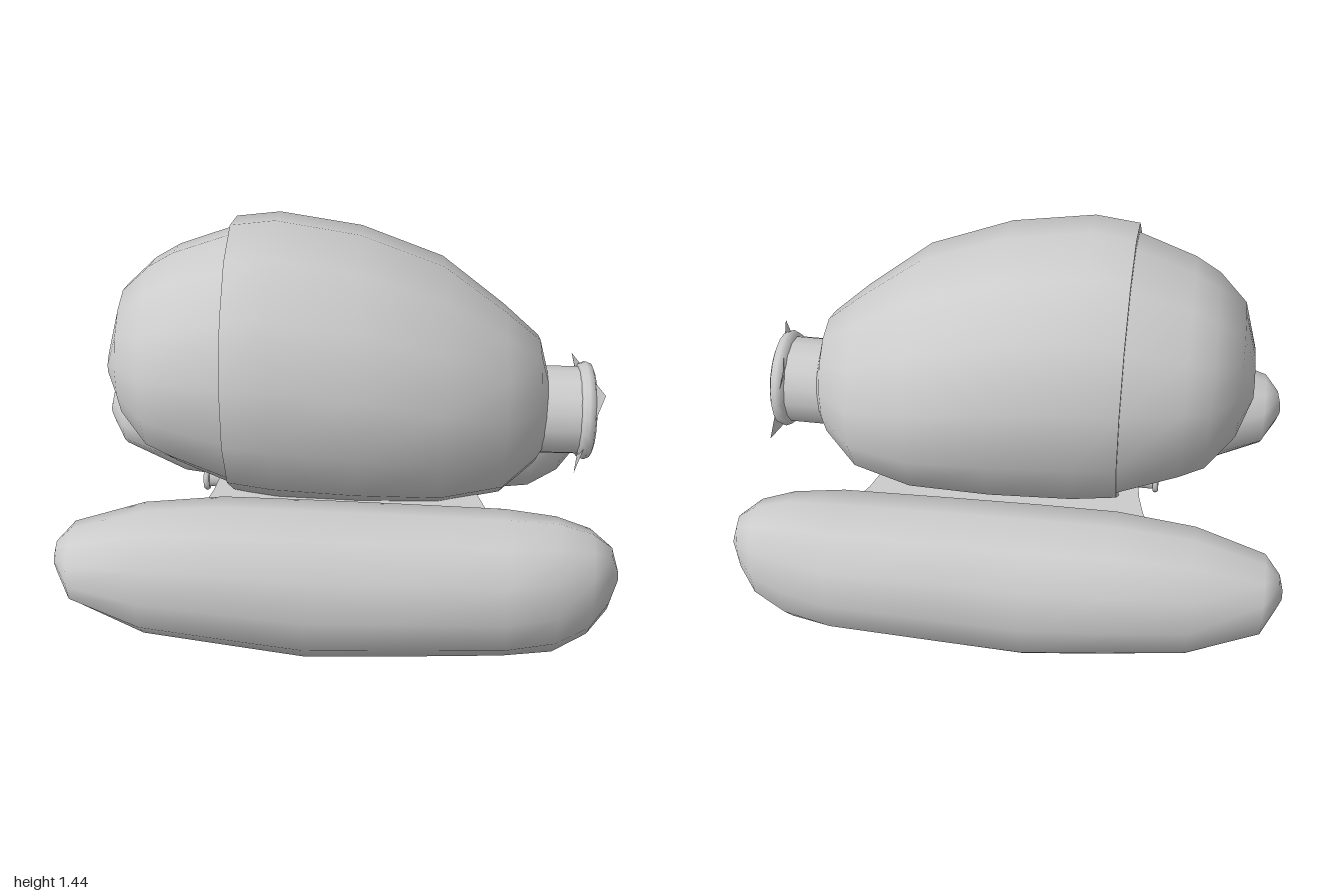
import * as THREE from 'three';

const material = new THREE.MeshStandardMaterial({ color: 0xcccccc });
const thin = new THREE.MeshStandardMaterial({ color: 0xcccccc, side: THREE.DoubleSide });

// Closed skin along x through elliptical sections [x, top, bottom, halfWidth].
// Repeating a section gives a sharp edge there.
function loft(sections, sides) {
  const positions = [], index = [], last = sections.length - 1;
  for (const [x, top, bottom, half] of sections) {
    for (let j = 0; j < sides; j++) {
      const t = (j / sides) * Math.PI * 2;
      positions.push(x, (top + bottom) / 2 + ((top - bottom) / 2) * Math.cos(t), half * Math.sin(t));
    }
  }
  const start = positions.length / 3, end = start + 1;
  for (const s of [sections[0], sections[last]]) positions.push(s[0], (s[1] + s[2]) / 2, 0);
  for (let j = 0; j < sides; j++) {
    const k = (j + 1) % sides;
    for (let i = 0; i < last; i++) {
      const a = i * sides, b = a + sides;
      index.push(a + j, a + k, b + j, a + k, b + k, b + j);
    }
    index.push(start, k, j, end, last * sides + j, last * sides + k);
  }
  const geometry = new THREE.BufferGeometry();
  geometry.setAttribute('position', new THREE.Float32BufferAttribute(positions, 3));
  geometry.setIndex(index);
  geometry.computeVertexNormals();
  return geometry;
}

export function createModel() {
  const model = new THREE.Group();
  function add(name, geometry, x = 0, y = 0, z = 0, mat = material) {
    const mesh = new THREE.Mesh(geometry, mat);
    mesh.name = name;
    mesh.position.set(x, y, z);
    model.add(mesh);
    return mesh;
  }

  // Egg-shaped hull with a flat rim at the rear
  add('hull', loft([
    [-0.39, 1.42, 0.40, 0.495], [-0.39, 1.42, 0.40, 0.495], [-0.23, 1.44, 0.37, 0.505],
    [0.07, 1.39, 0.36, 0.505], [0.37, 1.275, 0.36, 0.465], [0.6, 1.10, 0.39, 0.345],
    [0.73, 0.99, 0.50, 0.215], [0.77, 0.84, 0.57, 0.13],
  ], 14));

  // Rounded dome set inside the rim
  add('dome', loft([
    [-0.84, 0.97, 0.85, 0.14], [-0.79, 1.16, 0.68, 0.26], [-0.69, 1.255, 0.56, 0.38],
    [-0.6, 1.31, 0.51, 0.415], [-0.39, 1.385, 0.42, 0.475], [-0.3, 1.39, 0.42, 0.48],
  ], 14));

  // Two long floats
  const floatGeometry = loft([
    [-1, 0.37, 0.33, 0.02], [-0.985, 0.43, 0.29, 0.05], [-0.93, 0.485, 0.205, 0.15],
    [-0.68, 0.565, 0.08, 0.215], [-0.4, 0.59, 0.045, 0.245], [-0.1, 0.585, 0, 0.255],
    [0.2, 0.578, 0.01, 0.25], [0.6, 0.565, 0.03, 0.245], [0.78, 0.555, 0.035, 0.195],
    [0.9, 0.515, 0.11, 0.15], [0.97, 0.46, 0.2, 0.07], [1, 0.36, 0.32, 0.02],
  ], 12);
  for (const side of [1, -1]) add(side > 0 ? 'frontFloat' : 'backFloat', floatGeometry, 0, 0, side * 0.54);

  // Deck joining the floats, flaring where it meets them
  const plan = new THREE.Shape();
  plan.moveTo(-0.55, -0.42);
  plan.quadraticCurveTo(-0.45, -0.28, -0.45, 0);
  plan.quadraticCurveTo(-0.45, 0.28, -0.55, 0.42);
  plan.lineTo(0.62, 0.42);
  plan.quadraticCurveTo(0.5, 0.28, 0.5, 0);
  plan.quadraticCurveTo(0.5, -0.28, 0.62, -0.42);
  const deck = new THREE.ExtrudeGeometry(plan, { depth: 0.12, bevelEnabled: false, curveSegments: 5 });
  deck.rotateX(-Math.PI / 2);
  add('deck', deck, 0, 0.32, 0);

  // Nose tube, its rolled lip and a warped inner flap
  const tube = new THREE.CylinderGeometry(0.165, 0.165, 0.23, 16, 1, true).rotateZ(-Math.PI / 2);
  add('noseTube', tube, 0.81, 0.70, 0, thin);
  add('noseLip', new THREE.TorusGeometry(0.155, 0.03, 8, 20).rotateY(Math.PI / 2), 0.91, 0.70, 0);
  const flap = new THREE.PlaneGeometry(0.33, 0.33, 2, 2).rotateY(Math.PI / 2);
  const p = flap.attributes.position;
  for (let i = 0; i < p.count; i++) p.setX(i, p.getY(i) * p.getZ(i) * 1.6);
  flap.computeVertexNormals();
  add('noseFlap', flap, 0.915, 0.69, 0, thin);

  // Small outlet under the dome
  const outlet = new THREE.CylinderGeometry(0.04, 0.04, 0.14, 10, 1, true).rotateZ(Math.PI / 2);
  add('rearOutlet', outlet, -0.46, 0.365, 0, thin);
  add('rearOutletLip', new THREE.TorusGeometry(0.042, 0.012, 6, 12).rotateY(Math.PI / 2), -0.52, 0.365, 0);

  return model;
}
